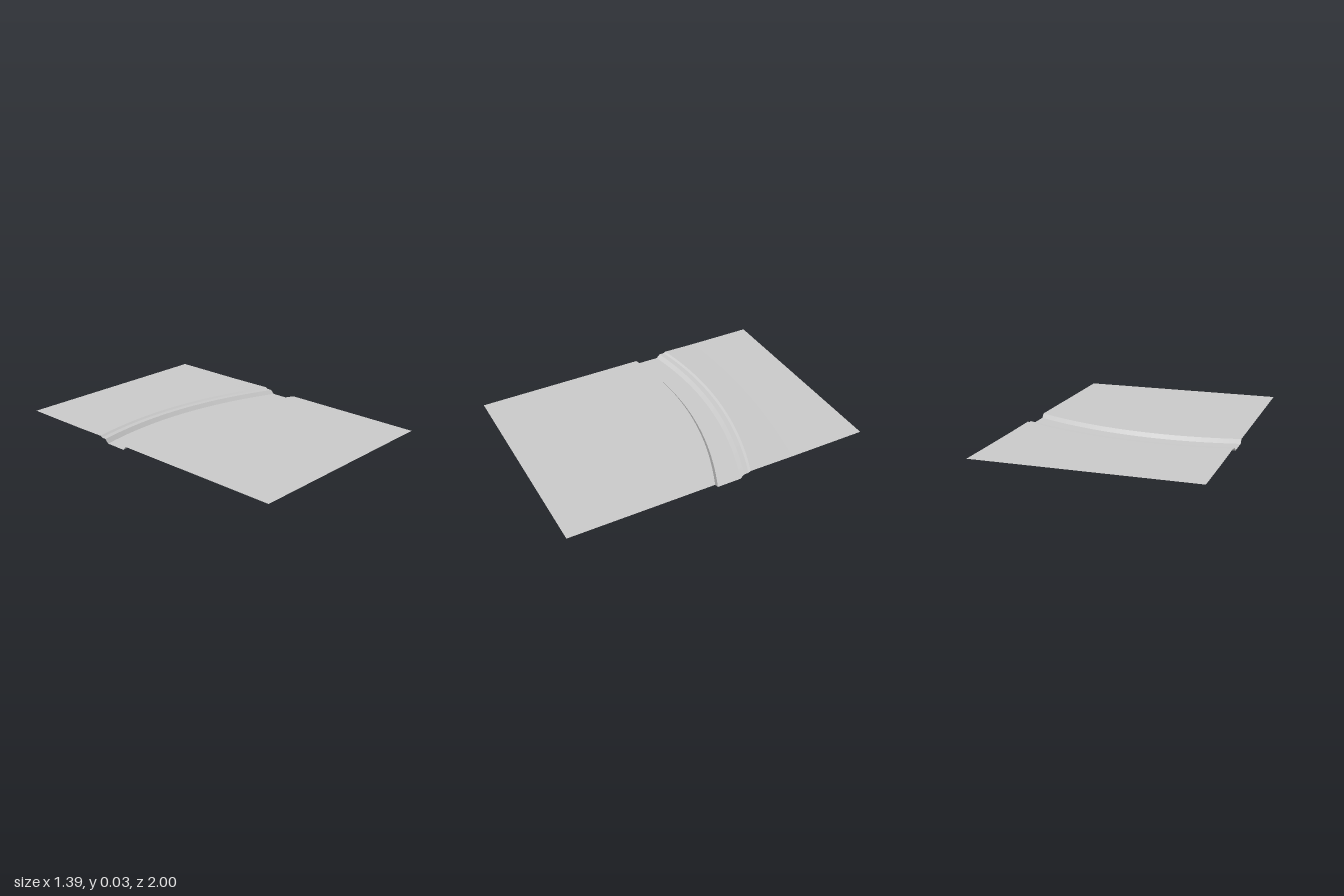
import * as THREE from 'three';

const HALF_WIDTH = 0.695;
const SEGMENTS = 40;

// The channel follows a shallow bend whose crest lies left of centre.
const bend = (offset, k = 0.229) => (x) => offset + k * (x + 0.25) ** 2;
const straight = (z) => () => z;

// Contour lines from the front edge to the back edge: z along x, and height.
const contours = [
  { z: straight(1), y: 0.025 },
  { z: bend(-0.165, 0.25), y: 0.025 },
  { z: bend(-0.185, 0.25), y: 0 },
  { z: bend(-0.322), y: 0 },
  { z: bend(-0.345), y: 0.024 },
  { z: bend(-0.377), y: 0.025 },
  { z: bend(-0.392), y: 0.033 },
  { z: bend(-0.6, 0.13), y: 0.03 },
  { z: straight(-1), y: 0.03 },
];
const names = [
  'frontField', 'frontBank', 'channelBed', 'backBank',
  'bankTerrace', 'upperBank', 'backSlope', 'backField',
];

// Ruled strip of ground between two contour lines, facing up.
function strip(front, back) {
  const geometry = new THREE.PlaneGeometry(1, 1, SEGMENTS, 1);
  const position = geometry.attributes.position;
  for (let i = 0; i < position.count; i++) {
    const x = position.getX(i) * 2 * HALF_WIDTH;
    const line = position.getY(i) > 0 ? back : front;
    position.setXYZ(i, x, line.y, line.z(x));
  }
  geometry.computeVertexNormals();
  return geometry;
}

export function createModel() {
  const group = new THREE.Group();
  group.name = 'terrainWithChannel';
  const ground = new THREE.MeshStandardMaterial({
    name: 'groundGrey', color: 0xc8c8c8, flatShading: true, side: THREE.DoubleSide,
  });
  names.forEach((name, i) => {
    const mesh = new THREE.Mesh(strip(contours[i], contours[i + 1]), ground);
    mesh.name = name;
    group.add(mesh);
  });
  return group;
}
